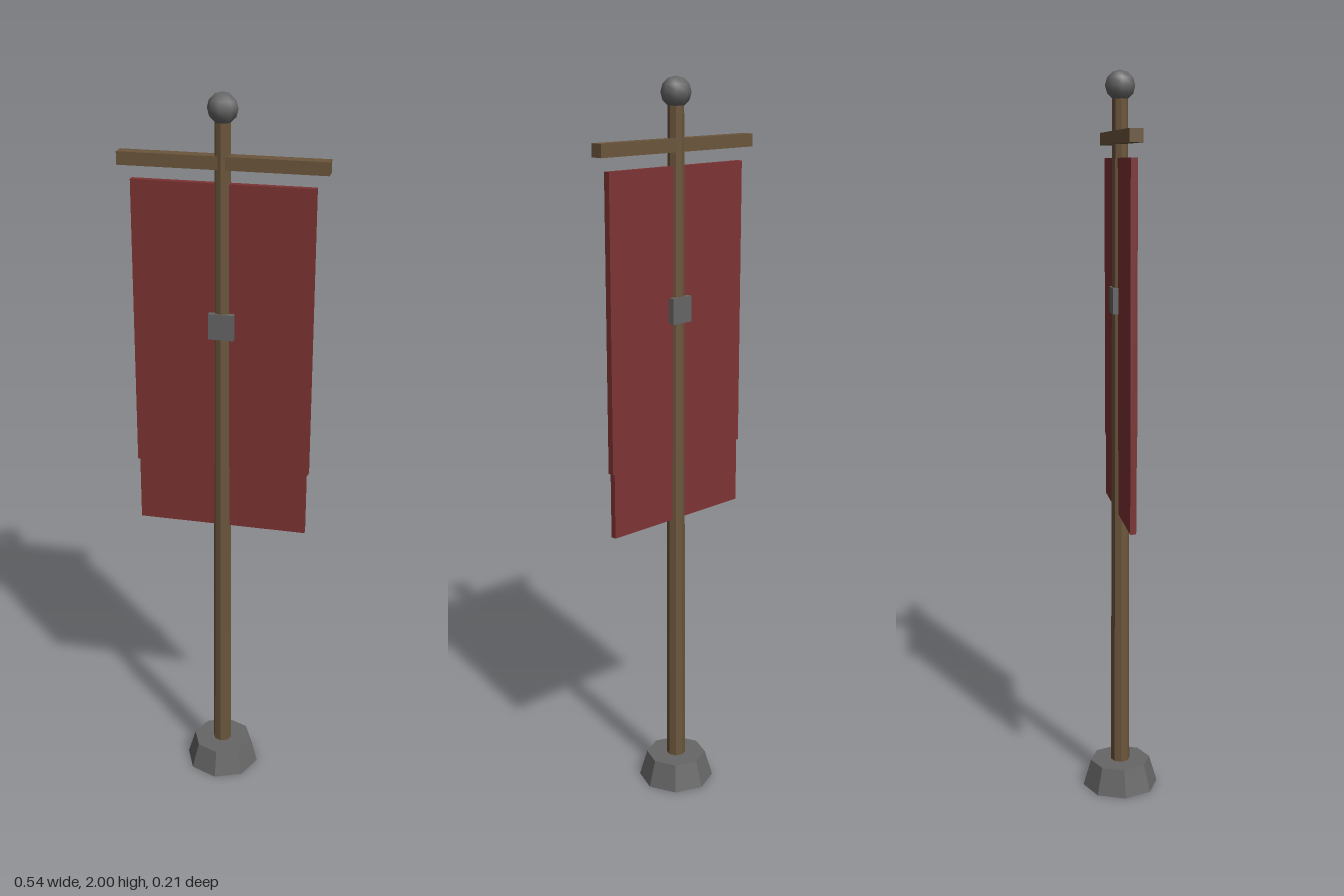
import * as THREE from 'three';

export function createModel() {
  const model = new THREE.Group();
  const material = (name, color, flatShading) => {
    const m = new THREE.MeshStandardMaterial({ color, flatShading });
    m.name = name;
    return m;
  };
  const wood = material('wood', 0x6b563c, true);
  const iron = material('iron', 0x666666, false);
  const cloth = material('red cloth', 0x7d3333, true);

  const add = (name, geometry, mat, y) => {
    const mesh = new THREE.Mesh(geometry, mat);
    mesh.name = name;
    mesh.position.y = y;
    model.add(mesh);
    return mesh;
  };

  // Faceted foot
  const foot = new THREE.CylinderGeometry(0.085, 0.107, 0.075, 8).toNonIndexed();
  foot.computeVertexNormals();
  add('foot', foot, iron, 0.0375);

  // Tapered pole, crossbar and ball finial
  add('pole', new THREE.CylinderGeometry(0.021, 0.027, 1.95, 8), wood, 0.975);
  add('crossbar', new THREE.BoxGeometry(0.544, 0.034, 0.035), wood, 1.828);
  add('finial', new THREE.SphereGeometry(0.04, 8, 6), iron, 1.96);

  // Hanging cloth, with a slightly narrower lower panel
  add('banner', new THREE.BoxGeometry(0.48, 0.785, 0.018), cloth, 1.3825);
  add('bannerHem', new THREE.BoxGeometry(0.468, 0.18, 0.016), cloth, 0.9);

  // Clamp holding the cloth to the pole
  add('clamp', new THREE.BoxGeometry(0.068, 0.07, 0.049), iron, 1.4);

  return model;
}
